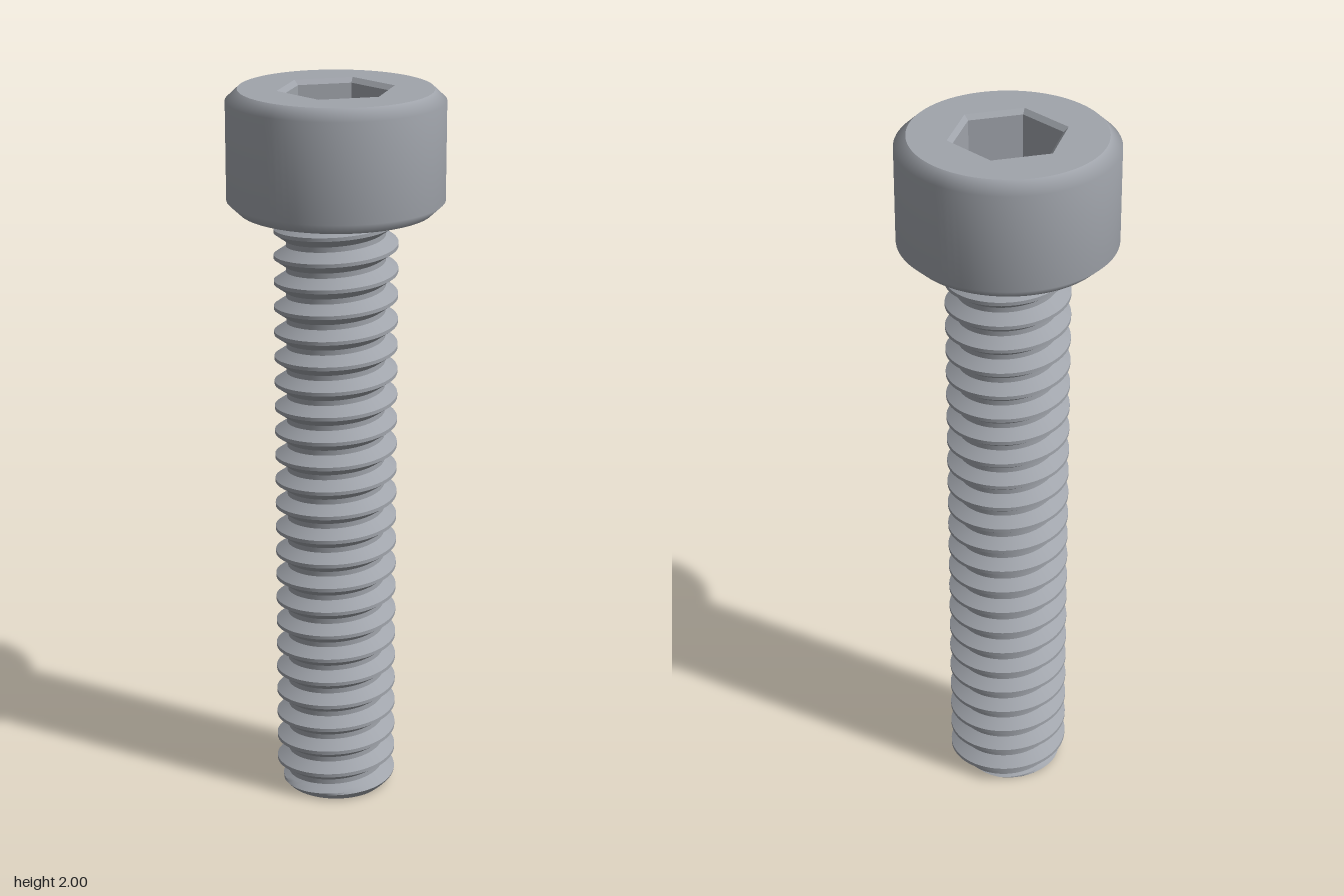
import * as THREE from 'three';
import { toCreasedNormals } from 'three/addons/utils/BufferGeometryUtils.js';

const HEAD_BASE = 1.675, TOP = 2, HEAD_R = 0.291, FACE_R = 0.259;
const CREST_R = 0.167, ROOT_R = 0.134, PITCH = 0.0705, PHASE = 0.035;
const SOCKET_RIM = 0.159, SOCKET_R = 0.146, SOCKET_FLOOR = 1.83;

const lathe = (pts, segments, start = 0) =>
  new THREE.LatheGeometry(pts.map(p => new THREE.Vector2(...p)), segments, start);

// Thread radius at a height and angle, limited by the chamfered tip
function threadRadius(y, turn) {
  let u = (y - PHASE) / PITCH - turn;
  u = Math.abs(u - Math.round(u)); // 0 at the crest, 0.5 at the root
  const t = THREE.MathUtils.clamp((u - 0.07) / 0.33, 0, 1);
  return Math.min(THREE.MathUtils.lerp(CREST_R, ROOT_R, t), 0.142 + y * 0.9);
}

// Right-handed thread: rows of vertices follow the helix, cut off at both ends
function threadGeometry() {
  const seg = 72, knots = [0.07, 0.15, 0.24, 0.32, 0.4, 0.6, 0.68, 0.76, 0.85, 0.93];
  const turns = Math.ceil(HEAD_BASE / PITCH) + 1;
  const pos = [], index = [];
  let rows = 0;
  const addRow = at => {
    for (let i = 0; i <= seg; i++) {
      const turn = i / seg, a = turn * Math.PI * 2;
      const [r, y] = at(turn);
      pos.push(r * Math.cos(a), y, -r * Math.sin(a));
    }
    rows++;
  };
  addRow(() => [0, 0]); // centre of the tip
  for (let k = -2; k <= turns; k++) {
    for (const u of knots) {
      addRow(turn => {
        const y = THREE.MathUtils.clamp(PHASE + PITCH * (k + u + turn), 0, HEAD_BASE + 0.005);
        return [threadRadius(y, turn), y];
      });
    }
  }
  for (let j = 0; j < rows - 1; j++) {
    for (let i = 0; i < seg; i++) {
      const a = j * (seg + 1) + i, c = a + seg + 1;
      index.push(a, a + 1, c + 1, a, c + 1, c);
    }
  }
  const g = new THREE.BufferGeometry();
  g.setAttribute('position', new THREE.Float32BufferAttribute(pos, 3));
  g.setIndex(index);
  return toCreasedNormals(g, 0.6);
}

export function createModel() {
  const steel = new THREE.MeshStandardMaterial({ color: 0xa0a4ab });
  steel.name = 'steel grey';

  const model = new THREE.Group();
  model.name = 'socketHeadScrew';
  const head = new THREE.Group();
  head.name = 'head';
  model.add(head);
  const add = (parent, name, geometry) => {
    const mesh = new THREE.Mesh(geometry, steel);
    mesh.name = name;
    parent.add(mesh);
  };

  // Threaded shank with chamfered tip
  add(model, 'threadedShank', threadGeometry());

  // Head side, shaded smoothly over both chamfers
  add(head, 'headSide', lathe(
    [[FACE_R, HEAD_BASE], [HEAD_R, HEAD_BASE + 0.03], [HEAD_R, TOP - 0.03], [FACE_R, TOP]], 96));
  add(head, 'headUnderside', lathe([[0.1, HEAD_BASE], [FACE_R, HEAD_BASE]], 96));

  // Top face with hexagonal opening
  const face = new THREE.Shape().absarc(0, 0, FACE_R, 0, Math.PI * 2);
  const hex = Array.from({ length: 6 }, (_, i) => {
    const a = i * Math.PI / 3;
    return new THREE.Vector2(SOCKET_RIM * Math.cos(a), SOCKET_RIM * Math.sin(a));
  });
  face.holes.push(new THREE.Path(hex));
  add(head, 'headTop', new THREE.ShapeGeometry(face, 96).rotateX(-Math.PI / 2).translate(0, TOP, 0));

  // Hexagonal socket: bevelled rim, walls and floor
  const socket = lathe([[SOCKET_RIM, TOP], [SOCKET_R, TOP - 0.013],
    [SOCKET_R, SOCKET_FLOOR], [0, SOCKET_FLOOR]], 6, Math.PI / 2).toNonIndexed();
  socket.computeVertexNormals();
  add(head, 'hexSocket', socket);

  return model;
}
